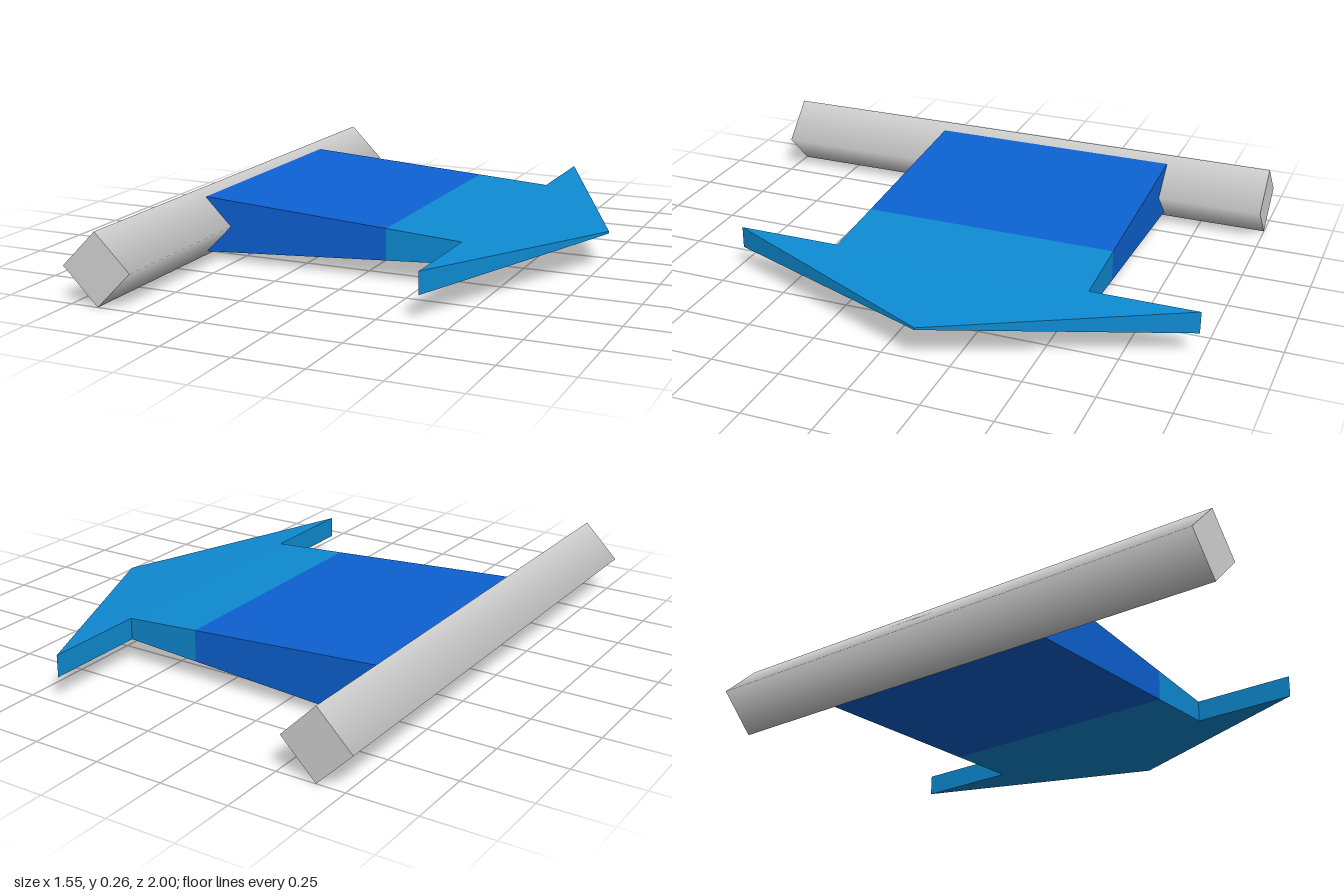
import * as THREE from 'three';

const MID_Y = 0.13;
const X_BACK = -0.617, X_SPLIT = 0.104, X_HEAD = 0.386, X_TIP = 0.774;
const Z_RIGHT = 0.335, Z_LEFT = -0.605, Z_MID = -0.135;

// Half thickness along x: gentle taper on the shaft, then down to a thin tip
function halfThickness(x) {
  return x <= X_HEAD
    ? THREE.MathUtils.mapLinear(x, X_BACK, X_HEAD, 0.104, 0.04)
    : THREE.MathUtils.mapLinear(x, X_HEAD, X_TIP, 0.04, 0.004);
}

// Tapered slab from an outline of [x, z] points
function slab(name, outline, material) {
  const shape = new THREE.Shape(outline.map(([x, z]) => new THREE.Vector2(x, -z)));
  const geometry = new THREE.ExtrudeGeometry(shape, { depth: 1, bevelEnabled: false });
  geometry.rotateX(-Math.PI / 2);
  const p = geometry.attributes.position;
  for (let i = 0; i < p.count; i++) {
    const side = p.getY(i) > 0.5 ? 1 : -1;
    p.setY(i, MID_Y + side * halfThickness(p.getX(i)));
  }
  geometry.computeVertexNormals();
  const mesh = new THREE.Mesh(geometry, material);
  mesh.name = name;
  return mesh;
}

const rect = (x0, x1) => [[x0, Z_RIGHT], [x1, Z_RIGHT], [x1, Z_LEFT], [x0, Z_LEFT]];

export function createModel() {
  const grey = new THREE.MeshStandardMaterial({ color: 0xd6d6d6 });
  grey.name = 'light grey';
  const blue = new THREE.MeshStandardMaterial({ color: 0x0d62d4 });
  blue.name = 'deep blue';
  const sky = new THREE.MeshStandardMaterial({ color: 0x0e8cd4 });
  sky.name = 'sky blue';

  const model = new THREE.Group();
  model.name = 'arrowFlap';

  // Four-sided hinge rod with smooth sides
  const rodGeometry = new THREE.CylinderGeometry(0.13, 0.13, 2, 4);
  rodGeometry.rotateX(Math.PI / 2);
  const rod = new THREE.Mesh(rodGeometry, grey);
  rod.name = 'hingeRod';
  rod.position.set(-0.646, MID_Y, 0);
  model.add(rod);

  // Arrow: deep blue shaft, lighter neck and head
  model.add(slab('shaft', rect(X_BACK, X_SPLIT), blue));
  model.add(slab('neck', rect(X_SPLIT, X_HEAD), sky));
  model.add(slab('arrowHead', [[X_HEAD, 0.72], [X_TIP, Z_MID], [X_HEAD, -0.99]], sky));

  return model;
}
